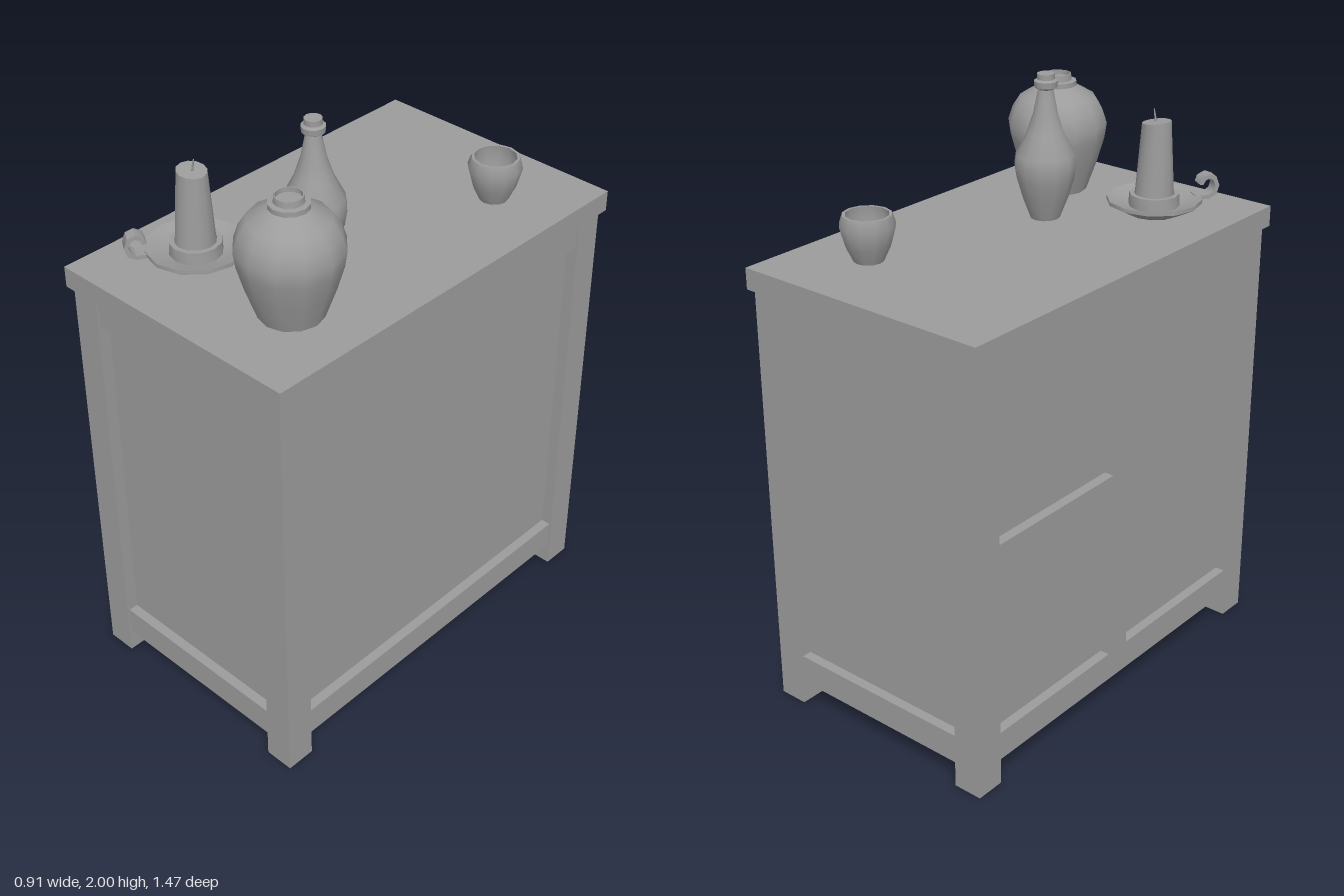
import * as THREE from 'three';
import { toCreasedNormals } from 'three/addons/utils/BufferGeometryUtils.js';

const TOP = 1.53; // height of the table top

export function createModel() {
  const model = new THREE.Group();
  const darkGrey = new THREE.MeshStandardMaterial({ color: 0x9c9c9c });

  const add = (name, geometry, parent = model) => {
    const mesh = new THREE.Mesh(geometry, darkGrey);
    mesh.name = name;
    parent.add(mesh);
    return mesh;
  };

  // Box given by its lower and upper corner
  const block = (name, [x0, y0, z0], [x1, y1, z1], parent) =>
    add(name, new THREE.BoxGeometry(x1 - x0, y1 - y0, z1 - z0), parent)
      .position.set((x0 + x1) / 2, (y0 + y1) / 2, (z0 + z1) / 2);

  // Turned part; profile rows are [radius, height above the table top]
  const turned = (name, profile, segments, parent) => {
    const points = profile.map(([r, y]) => new THREE.Vector2(r, y));
    return add(name, toCreasedNormals(new THREE.LatheGeometry(points, segments), 0.8), parent);
  };

  // Cabinet
  const cabinet = new THREE.Group();
  cabinet.name = 'cabinet';
  model.add(cabinet);
  const X = 0.4375, Z = 0.72, LEG = 0.1, SLAB = 1.46;
  block('cabinetTop', [-0.455, SLAB, -0.735], [0.455, TOP, 0.735], cabinet);
  for (const sx of [-1, 1]) for (const sz of [-1, 1]) {
    const leg = add('leg', new THREE.BoxGeometry(LEG, SLAB, LEG), cabinet);
    leg.position.set(sx * (X - LEG / 2), SLAB / 2, sz * (Z - LEG / 2));
  }

  // One framed side, built facing +z with the given half width, then turned into place
  const side = (name, halfWidth, distance, angle) => {
    const group = new THREE.Group();
    group.name = name;
    group.rotation.y = angle;
    cabinet.add(group);
    const w = halfWidth - LEG, out = distance - 0.008, back = out - 0.08;
    block('topRail', [-w, 1.36, back], [w, SLAB, out], group);
    block('bottomRail', [-w, 0.08, back], [w, 0.18, out], group);
    block('panel', [-w, 0.18, out - 0.045], [w, 1.36, out - 0.033], group);
    return { group, w, out, back };
  };
  side('frontSide', X, Z, 0);
  side('backSide', X, Z, Math.PI);
  side('leftSide', Z, X, Math.PI / 2);

  // The divided side has a centre stile and a middle rail in its rear half
  const divided = side('rightSide', Z, X, -Math.PI / 2);
  block('centreStile', [-0.06, 0.18, divided.back], [0.035, 1.36, divided.out], divided.group);
  block('middleRail', [-divided.w, 0.755, divided.back], [-0.06, 0.85, divided.out], divided.group);

  // Wide jar
  turned('jar', [
    [0, 0], [0.1, 0], [0.135, 0.1], [0.158, 0.18], [0.165, 0.23], [0.15, 0.275], [0.125, 0.315],
    [0.062, 0.352], [0.062, 0.368], [0.046, 0.37], [0.044, 0.39], [0.04, 0.39], [0.04, 0.375], [0, 0.375],
  ], 12).position.set(0.205, TOP, 0.44);

  // Slender bottle
  turned('bottle', [
    [0, 0], [0.048, 0], [0.075, 0.07], [0.093, 0.13], [0.1, 0.175], [0.095, 0.21], [0.06, 0.28],
    [0.04, 0.34], [0.024, 0.42], [0.036, 0.427], [0.038, 0.447], [0.028, 0.452], [0.028, 0.47],
    [0, 0.47],
  ], 12).position.set(0.05, TOP, 0.185);

  // Small cup
  turned('cup', [
    [0, 0], [0.047, 0], [0.07, 0.05], [0.088, 0.115], [0.077, 0.148], [0.068, 0.148],
    [0.072, 0.115], [0.066, 0.075], [0, 0.075],
  ], 12).position.set(0.215, TOP, -0.455);

  // Candle on a saucer
  const holder = new THREE.Group();
  holder.name = 'candleHolder';
  holder.position.set(-0.2, TOP, 0.435);
  model.add(holder);
  turned('saucer', [
    [0, 0.005], [0.085, 0.005], [0.155, 0.042], [0.155, 0.055], [0.083, 0.03], [0.081, 0.07],
    [0.066, 0.07], [0.066, 0.06], [0, 0.06],
  ], 12, holder);

  // Candle with a slanting top
  const wax = new THREE.CylinderGeometry(0.047, 0.064, 0.25, 12);
  const p = wax.attributes.position;
  for (let i = 0; i < p.count; i++) {
    if (p.getY(i) > 0) p.setY(i, p.getY(i) - 0.13 * p.getX(i));
  }
  add('candle', toCreasedNormals(wax, 0.8), holder).position.y = 0.18;
  const wick = add('wick', new THREE.CylinderGeometry(0.002, 0.004, 0.045, 5), holder);
  wick.position.set(0.007, 0.322, 0);
  wick.rotation.z = -0.2;

  // Curled strap handle: an outer and an inner curve joined, extruded across
  const outer = [[0.135, 0.04], [0.18, 0.036], [0.207, 0.05], [0.216, 0.08], [0.205, 0.11], [0.18, 0.12], [0.155, 0.108], [0.148, 0.088]];
  const inner = [[0.16, 0.086], [0.168, 0.1], [0.182, 0.106], [0.195, 0.098], [0.202, 0.08], [0.196, 0.062], [0.178, 0.05], [0.135, 0.052]];
  const strap = new THREE.Shape([...outer, ...inner].map(([r, y]) => new THREE.Vector2(r, y)));
  const handle = new THREE.ExtrudeGeometry(strap, { depth: 0.045, bevelEnabled: false });
  handle.translate(0, 0, -0.0225);
  add('handle', toCreasedNormals(handle, 0.8), holder).rotation.y = Math.atan2(-0.83, -0.55);

  return model;
}
